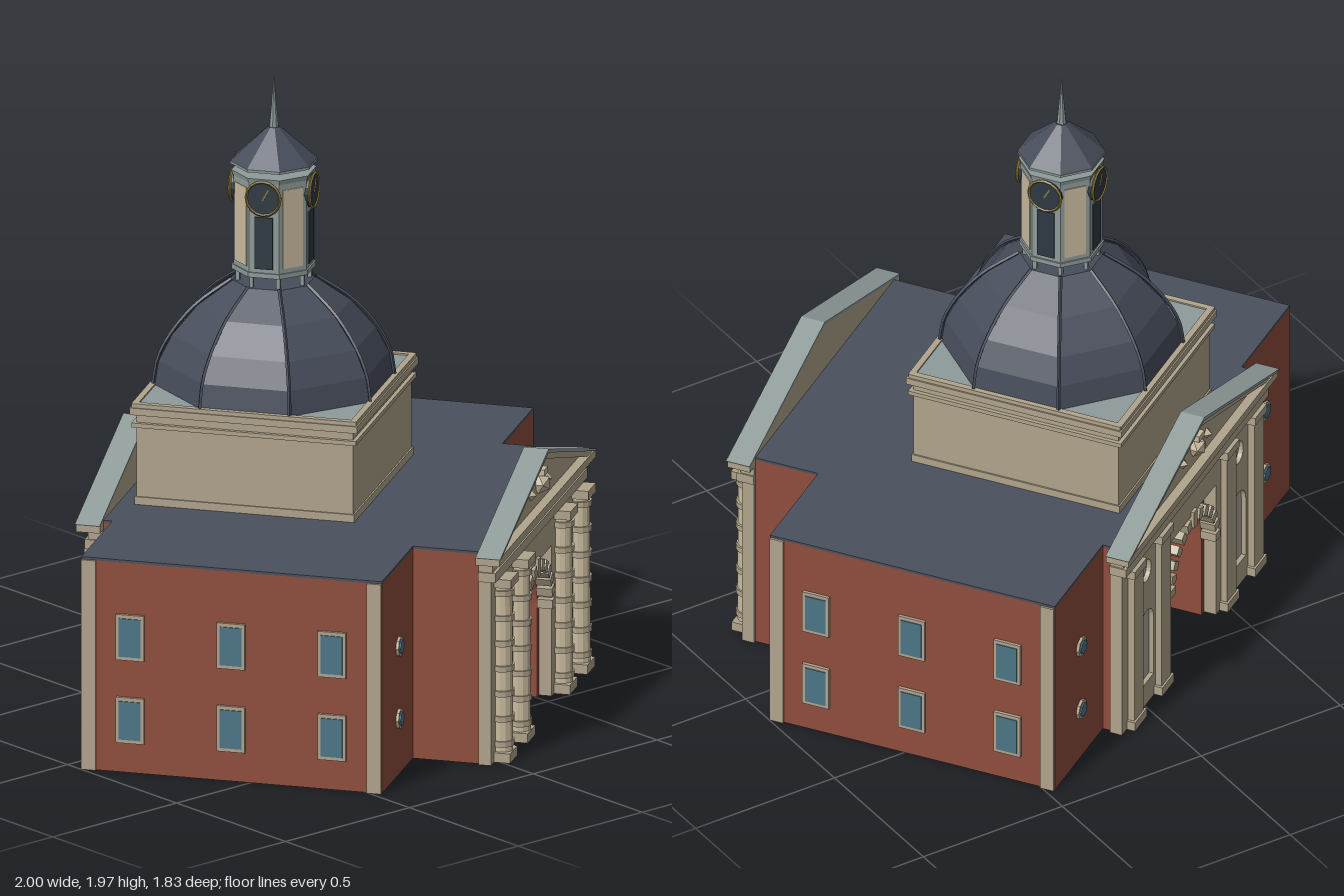
import * as THREE from 'three';

const C = {
  brick: 0x8f4d3d, stone: 0xb0a48c, pale: 0xc9bb9f, slate: 0x4b515d, dome: 0x474d5b,
  lead: 0x8f9c9a, niche: 0xaaa69d, glass: 0x4c7688, dark: 0x2f3944, gold: 0x8a7430,
};

const mats = {};
const mat = (c) => (mats[c] ??= new THREE.MeshStandardMaterial({ color: c, flatShading: true, side: THREE.DoubleSide }));

function add(parent, name, geo, color, x = 0, y = 0, z = 0) {
  const m = new THREE.Mesh(geo, mat(color));
  m.name = name;
  m.position.set(x, y, z);
  parent.add(m);
  return m;
}
function sub(parent, name, x = 0, y = 0, z = 0, ry = 0) {
  const g = new THREE.Group();
  g.name = name;
  g.position.set(x, y, z);
  g.rotation.y = ry;
  parent.add(g);
  return g;
}
const box = (w, h, d) => new THREE.BoxGeometry(w, h, d);
const oct = (rTop, rBot, h) => new THREE.CylinderGeometry(rTop, rBot, h, 8, 1, false, Math.PI / 8);
const poly = (pts) => new THREE.Shape(pts.map(([x, y]) => new THREE.Vector2(x, y)));
const extrude = (shape, depth) => new THREE.ExtrudeGeometry(shape, { depth, bevelEnabled: false, curveSegments: 10 });

// Round-headed outline, used for holes and panels
function arch(Type, cx, y0, r, spring) {
  const p = new Type();
  p.moveTo(cx - r, y0);
  p.lineTo(cx + r, y0);
  p.lineTo(cx + r, spring);
  p.absarc(cx, spring, r, 0, Math.PI, false);
  p.lineTo(cx - r, y0);
  return p;
}
function oval(Type, cx, cy, rx, ry) {
  const p = new Type();
  p.absellipse(cx, cy, rx, ry, 0, Math.PI * 2, false);
  return p;
}

// Gate front: wall z 0..0.04, orders and pediment standing out from it
function facade(parent, name, z, ry, columns) {
  const f = sub(parent, name, 0, 0, z, ry);
  const wall = poly([[-0.53, 0], [-0.175, 0], [-0.175, 0.48], [0.175, 0.48], [0.175, 0], [0.53, 0], [0.53, 0.59], [-0.53, 0.59]]);
  for (const s of [-1, 1]) {
    wall.holes.push(arch(THREE.Path, s * 0.345, 0.08, 0.052, 0.29), oval(THREE.Path, s * 0.345, 0.49, 0.033, 0.038));
  }
  add(f, 'facadeWall', extrude(wall, 0.04), C.stone);

  for (const s of [-1, 1]) {
    add(f, 'nichePanel', extrude(arch(THREE.Shape, s * 0.345, 0.08, 0.052, 0.29), 0.02), C.niche, 0, 0, 0.005);
    add(f, 'medallion', extrude(oval(THREE.Shape, s * 0.345, 0.49, 0.033, 0.038), 0.02), C.niche, 0, 0, 0.005);
    for (const u of [0.245, 0.45]) {
      const c = sub(f, columns ? 'column' : 'pilaster', s * u, 0, 0.05);
      add(c, 'columnBase', box(0.088, 0.03, columns ? 0.08 : 0.035), C.stone, 0, 0.015, 0);
      add(c, 'columnCapital', box(0.088, 0.028, columns ? 0.085 : 0.035), C.stone, 0, 0.57, 0);
      if (columns) {
        add(c, 'columnShaft', new THREE.CylinderGeometry(0.03, 0.033, 0.53, 12), C.pale, 0, 0.293, 0.005);
        for (let i = 0; i < 7; i++) {
          add(c, 'columnBand', new THREE.CylinderGeometry(0.039, 0.039, 0.018, 12), C.stone, 0, 0.055 + i * 0.08, 0.003);
        }
      } else {
        add(c, 'pilasterShaft', box(0.07, 0.53, 0.022), C.stone, 0, 0.293, 0);
      }
    }
  }

  // Arch stones and keystone
  for (let i = 0; i <= 12; i++) {
    const a = (i / 12) * Math.PI;
    const key = i === 6;
    const v = add(f, key ? 'keystone' : 'archStone', box(key ? 0.06 : 0.035, 0.028, 0.05), C.stone,
      Math.cos(a) * 0.167, 0.3 + Math.sin(a) * 0.167, 0.025);
    v.rotation.z = a;
  }

  // Entablature and pediment
  add(f, 'architrave', box(1.07, 0.03, 0.055), C.stone, 0, 0.6, 0.0275);
  add(f, 'frieze', box(1.06, 0.035, 0.045), C.stone, 0, 0.63, 0.0225);
  add(f, 'cornice', box(1.12, 0.025, 0.075), C.stone, 0, 0.658, 0.0375);
  add(f, 'tympanum', extrude(poly([[-0.53, 0.67], [0.53, 0.67], [0, 0.83]]), 0.045), C.stone);
  add(f, 'rakingCornice', extrude(poly([[-0.555, 0.67], [-0.48, 0.67], [0, 0.815], [0.48, 0.67], [0.555, 0.67], [0, 0.837]]), 0.07), C.stone);
  add(f, 'pedimentCover', extrude(poly([[-0.565, 0.67], [-0.54, 0.67], [0, 0.835], [0.54, 0.67], [0.565, 0.67], [0, 0.847]]), 0.078), C.lead);
  add(f, 'crest', new THREE.IcosahedronGeometry(0.036, 0), C.pale, 0, 0.738, 0.05);
  add(f, 'crestTop', box(0.04, 0.02, 0.03), C.pale, 0, 0.775, 0.055);
  for (const s of [-1, 1]) add(f, 'crestScroll', new THREE.OctahedronGeometry(0.02), C.pale, s * 0.09, 0.725, 0.045);
}

export function createModel() {
  const model = new THREE.Group();
  model.name = 'cityGate';
  const g = sub(model, 'gatehouse', 0, 0, -0.036, 0.585);

  // Middle block with the vaulted passage running through it
  const mid = poly([[-0.52, 0], [-0.155, 0], [-0.155, 0.3]]);
  mid.absarc(0, 0.3, 0.155, Math.PI, 0, true);
  for (const [x, y] of [[0.155, 0], [0.52, 0], [0.52, 0.668], [-0.52, 0.668]]) mid.lineTo(x, y);
  add(g, 'passageBlock', extrude(mid, 1.18), C.brick, 0, 0, -0.5);
  add(g, 'middleRoof', box(1.04, 0.008, 1.18), C.slate, 0, 0.672, 0.09);

  // Side wings with windows
  for (const s of [-1, 1]) {
    const w = sub(g, 'wing');
    add(w, 'wingWalls', box(0.36, 0.668, 0.944), C.brick, s * 0.7, 0.334, 0);
    add(w, 'wingRoof', box(0.36, 0.008, 0.944), C.slate, s * 0.7, 0.672, 0);
    const end = sub(w, 'endWall', s * 0.88, 0, 0, s * Math.PI / 2);
    for (const t of [-1, 1]) add(end, 'cornerStrip', box(0.045, 0.668, 0.014), C.stone, t * 0.448, 0.334, 0);
    for (const x of [-0.317, 0, 0.317]) for (const y of [0.168, 0.432]) {
      add(end, 'windowFrame', box(0.088, 0.145, 0.02), C.stone, x, y, 0);
      add(end, 'windowPane', box(0.068, 0.122, 0.026), C.glass, x, y, 0);
    }
    for (const t of [-1, 1]) for (const y of [0.18, 0.41]) {
      const o = sub(w, 'smallWindow', s * 0.688, y, t * 0.472);
      add(o, 'smallWindowFrame', new THREE.CylinderGeometry(0.032, 0.032, 0.018, 8), C.stone).rotation.x = Math.PI / 2;
      add(o, 'smallWindowPane', new THREE.CylinderGeometry(0.023, 0.023, 0.026, 8), C.glass).rotation.x = Math.PI / 2;
    }
  }

  facade(g, 'frontFacade', 0.68, 0, true);
  facade(g, 'backFacade', -0.5, Math.PI, false);

  // Square drum under the dome
  const t = sub(g, 'tower', 0, 0, -0.105);
  add(t, 'drum', box(0.68, 0.32, 0.68), C.stone, 0, 0.83, 0);
  add(t, 'drumPlinth', box(0.69, 0.025, 0.69), C.stone, 0, 0.688, 0);
  add(t, 'drumMoulding', box(0.705, 0.014, 0.705), C.stone, 0, 0.93, 0);
  add(t, 'drumCornice', box(0.715, 0.022, 0.715), C.stone, 0, 0.975, 0);
  add(t, 'drumRoof', box(0.69, 0.01, 0.69), C.lead, 0, 0.989, 0);
  for (let i = 0; i < 4; i++) {
    const e = sub(t, 'drumEdge', 0, 0, 0, i * Math.PI / 2);
    add(e, 'drumCoping', box(0.7, 0.014, 0.02), C.stone, 0, 0.992, 0.343);
  }

  // Eight-sided dome with ribs on its edges
  const prof = [[0.365, 0.99], [0.352, 1.07], [0.312, 1.15], [0.235, 1.24], [0.125, 1.318], [0.001, 1.322]].map(([x, y]) => new THREE.Vector2(x, y));
  add(t, 'dome', new THREE.LatheGeometry(prof, 8, Math.PI / 8), C.dome);
  const ribPath = new THREE.CatmullRomCurve3(prof.slice(0, 5).map((p) => new THREE.Vector3(0, p.y + 0.004, p.x + 0.004)));
  for (let i = 0; i < 8; i++) {
    const rib = add(t, 'domeRib', new THREE.TubeGeometry(ribPath, 12, 0.006, 4), C.dome);
    rib.rotation.y = (i + 0.5) * Math.PI / 4;
    const a = (i + 0.5) * Math.PI / 4;
    add(t, 'lanternPost', box(0.012, 0.045, 0.012), C.lead, Math.sin(a) * 0.11, 1.338, Math.cos(a) * 0.11);
  }

  // Lantern with clocks and windows on the straight faces, stone panels between
  add(t, 'lanternFloor', oct(0.129, 0.129, 0.015), C.lead, 0, 1.362, 0);
  add(t, 'lanternBody', oct(0.124, 0.124, 0.3), C.lead, 0, 1.515, 0);
  add(t, 'lanternCornice', oct(0.13, 0.126, 0.015), C.lead, 0, 1.662, 0);
  for (let i = 0; i < 4; i++) {
    const face = sub(t, 'clockFace', 0, 0, 0, i * Math.PI / 2);
    add(face, 'lanternWindow', box(0.056, 0.165, 0.012), C.dark, 0, 1.465, 0.113);
    add(face, 'clockDial', new THREE.CylinderGeometry(0.053, 0.053, 0.02, 16), C.dark, 0, 1.61, 0.117).rotation.x = Math.PI / 2;
    add(face, 'clockRim', new THREE.TorusGeometry(0.053, 0.005, 4, 16), C.gold, 0, 1.61, 0.126);
    const hand = add(face, 'clockHand', box(0.005, 0.04, 0.003), C.gold, 0.008, 1.622, 0.128);
    hand.rotation.z = -0.5;
    const diag = sub(t, 'lanternSide', 0, 0, 0, (i + 0.5) * Math.PI / 2);
    add(diag, 'stonePanel', box(0.07, 0.25, 0.01), C.pale, 0, 1.51, 0.112);
  }
  add(t, 'roofPost', oct(0.04, 0.04, 0.06), C.lead, 0, 1.685, 0);
  add(t, 'lanternEave', oct(0.134, 0.134, 0.008), C.lead, 0, 1.694, 0);
  add(t, 'lanternRoof', oct(0.018, 0.134, 0.105), C.dome, 0, 1.75, 0);
  add(t, 'spire', new THREE.ConeGeometry(0.016, 0.18, 8), C.lead, 0, 1.88, 0);
  return model;
}
